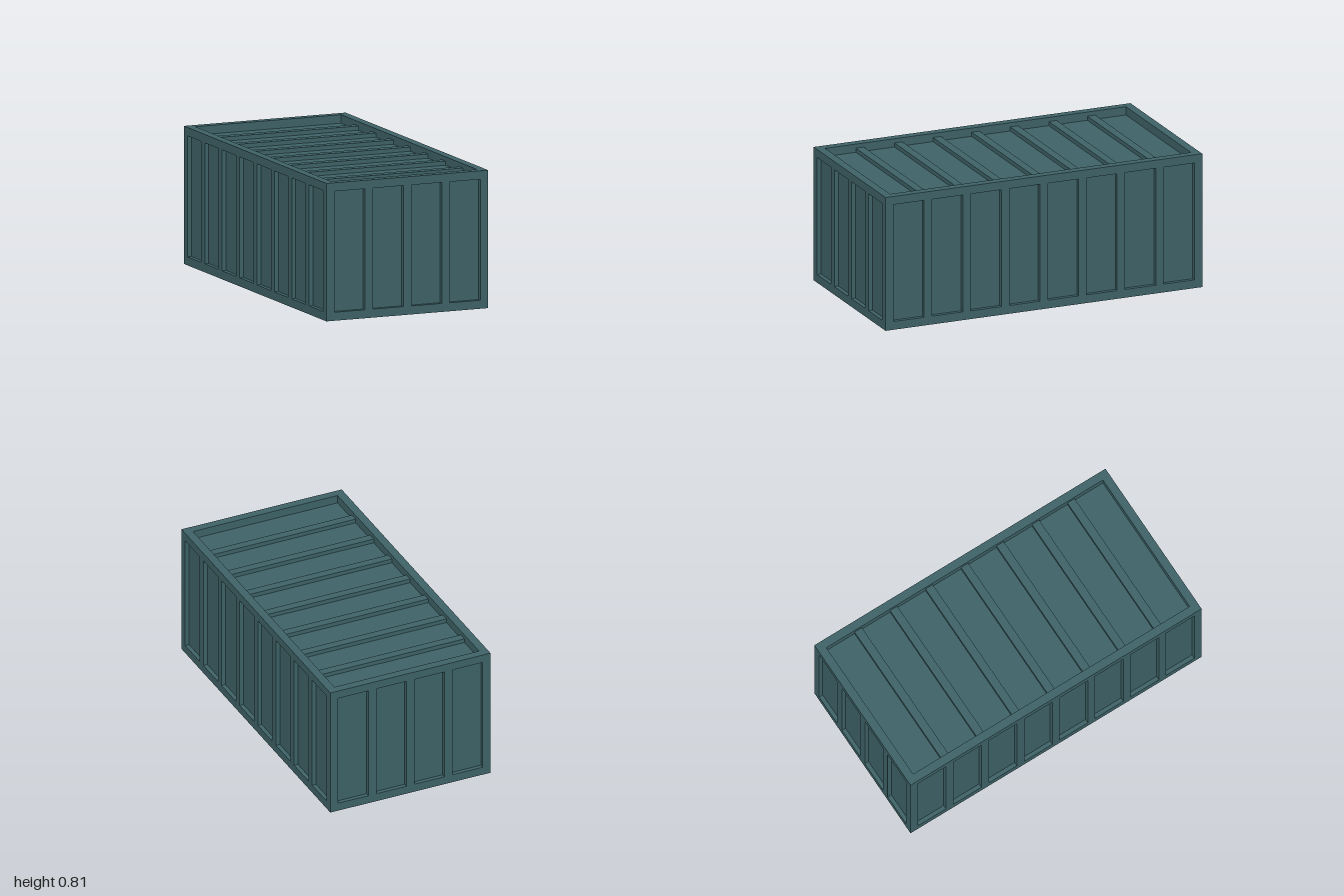
import * as THREE from 'three';

const W = 1.024, H = 0.81, L = 2;   // overall size
const T = 0.05;                     // frame and rib thickness
const D = 0.025;                    // recess of the wall panels

export function createModel() {
  const model = new THREE.Group();
  model.name = 'cargoContainer';
  const paint = new THREE.MeshStandardMaterial({ color: 0x3f6469 });

  const box = (name, w, h, d, x, y, z) => {
    const mesh = new THREE.Mesh(new THREE.BoxGeometry(w, h, d), paint);
    mesh.name = name;
    mesh.position.set(x, y, z);
    model.add(mesh);
  };

  // Centres of the ribs dividing a span into equal panels
  const ribCentres = (span, panels) => {
    const pitch = (span - T) / panels;
    return Array.from({ length: panels - 1 }, (_, i) => (i + 1 - panels / 2) * pitch);
  };

  // Inner body: wall, roof and floor panels
  box('panels', W - 2 * D, H - 2 * T, L - 2 * D, 0, H / 2, 0);

  // Outer frame: long rails, cross rails and corner posts
  for (const s of [-1, 1]) {
    for (const y of [T / 2, H - T / 2]) {
      box('longRail', T, T, L, s * (W - T) / 2, y, 0);
      box('crossRail', W - 2 * T, T, T, 0, y, s * (L - T) / 2);
    }
    for (const t of [-1, 1]) {
      box('cornerPost', T, H - 2 * T, T, s * (W - T) / 2, H / 2, t * (L - T) / 2);
    }
  }

  // Wall ribs, flush with the frame
  for (const s of [-1, 1]) {
    for (const z of ribCentres(L, 8)) {
      box('sideRib', D, H - 2 * T, T, s * (W - D) / 2, H / 2, z);
    }
    for (const x of ribCentres(W, 4)) {
      box('endRib', T, H - 2 * T, D, x, H / 2, s * (L - D) / 2);
    }
  }

  // Roof and floor ribs, sunk below the frame
  for (const z of ribCentres(L, 8)) {
    box('roofRib', W - 2 * T, D, T, 0, H - T + D / 2, z);
    box('floorRib', W - 2 * T, D, T, 0, T - D / 2, z);
  }

  return model;
}
